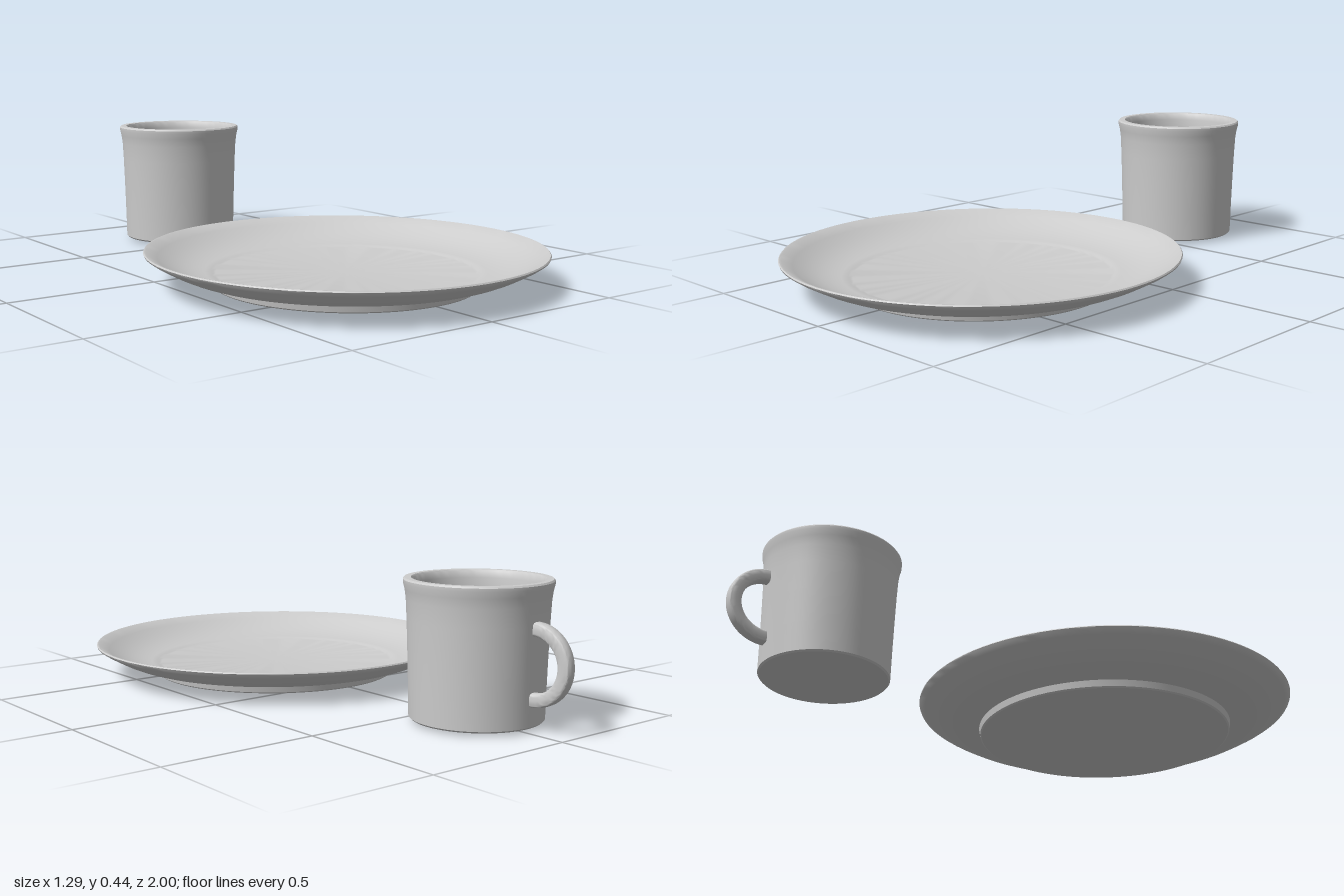
import * as THREE from 'three';
import { toCreasedNormals } from 'three/addons/utils/BufferGeometryUtils.js';

const glaze = new THREE.MeshStandardMaterial({ color: 0xcccccc });
glaze.name = 'glaze';

// Turned part from [radius, height] pairs; start and length limit the sweep
function turned(name, profile, segments, start = 0, length = Math.PI * 2) {
  const points = profile.map(([r, y]) => new THREE.Vector2(r, y));
  const geometry = new THREE.LatheGeometry(points, segments, start, length);
  const mesh = new THREE.Mesh(toCreasedNormals(geometry, 0.6), glaze);
  mesh.name = name;
  return mesh;
}

export function createModel() {
  const model = new THREE.Group();
  model.name = 'mugAndPlate';

  // Plate: foot, curved underside, thin rim, then the shallow well
  const plate = turned('plate', [
    [0, 0], [0.425, 0], [0.43, 0.004], [0.434, 0.025], [0.45, 0.029],
    [0.48, 0.033], [0.51, 0.04], [0.54, 0.05], [0.57, 0.063], [0.6, 0.079],
    [0.625, 0.093], [0.641, 0.104], [0.643, 0.109], [0.64, 0.113], [0.634, 0.112],
    [0.6, 0.092], [0.57, 0.076], [0.54, 0.063], [0.51, 0.053], [0.48, 0.046],
    [0.45, 0.041], [0.43, 0.039], [0.423, 0.036], [0.415, 0.035], [0, 0.035],
  ], 96);
  plate.position.z = 0.355;
  model.add(plate);

  // Mug, turned slightly so the handle points off the centre line
  const mug = new THREE.Group();
  mug.name = 'mug';
  mug.position.z = -0.665;
  mug.rotation.y = 0.105;
  model.add(mug);

  // Cup with a flared lip and hollow inside
  mug.add(turned('cup', [
    [0, 0.01], [0.2, 0.01], [0.205, 0.015], [0.207, 0.11], [0.21, 0.22],
    [0.213, 0.31], [0.216, 0.37], [0.22, 0.4], [0.225, 0.42], [0.225, 0.43],
    [0.221, 0.435], [0.201, 0.435], [0.196, 0.43], [0.192, 0.41], [0.189, 0.37],
    [0.187, 0.3], [0.184, 0.16], [0.182, 0.06], [0.178, 0.048], [0.168, 0.042],
    [0, 0.04],
  ], 72));

  // Handle: rounded square section swept through a half ring
  const section = [];
  const soften = (v) => Math.sign(v) * Math.sqrt(Math.abs(v));
  for (let i = 0; i <= 24; i++) {
    const a = (i / 24) * Math.PI * 2;
    section.push([0.104 + 0.021 * soften(Math.cos(a)), 0.02 * soften(Math.sin(a))]);
  }
  const handle = turned('handle', section, 40, Math.PI / 2 - 0.2, Math.PI + 0.4);
  handle.rotation.z = Math.PI / 2;
  handle.position.set(0, 0.2, -0.211);
  mug.add(handle);

  return model;
}
